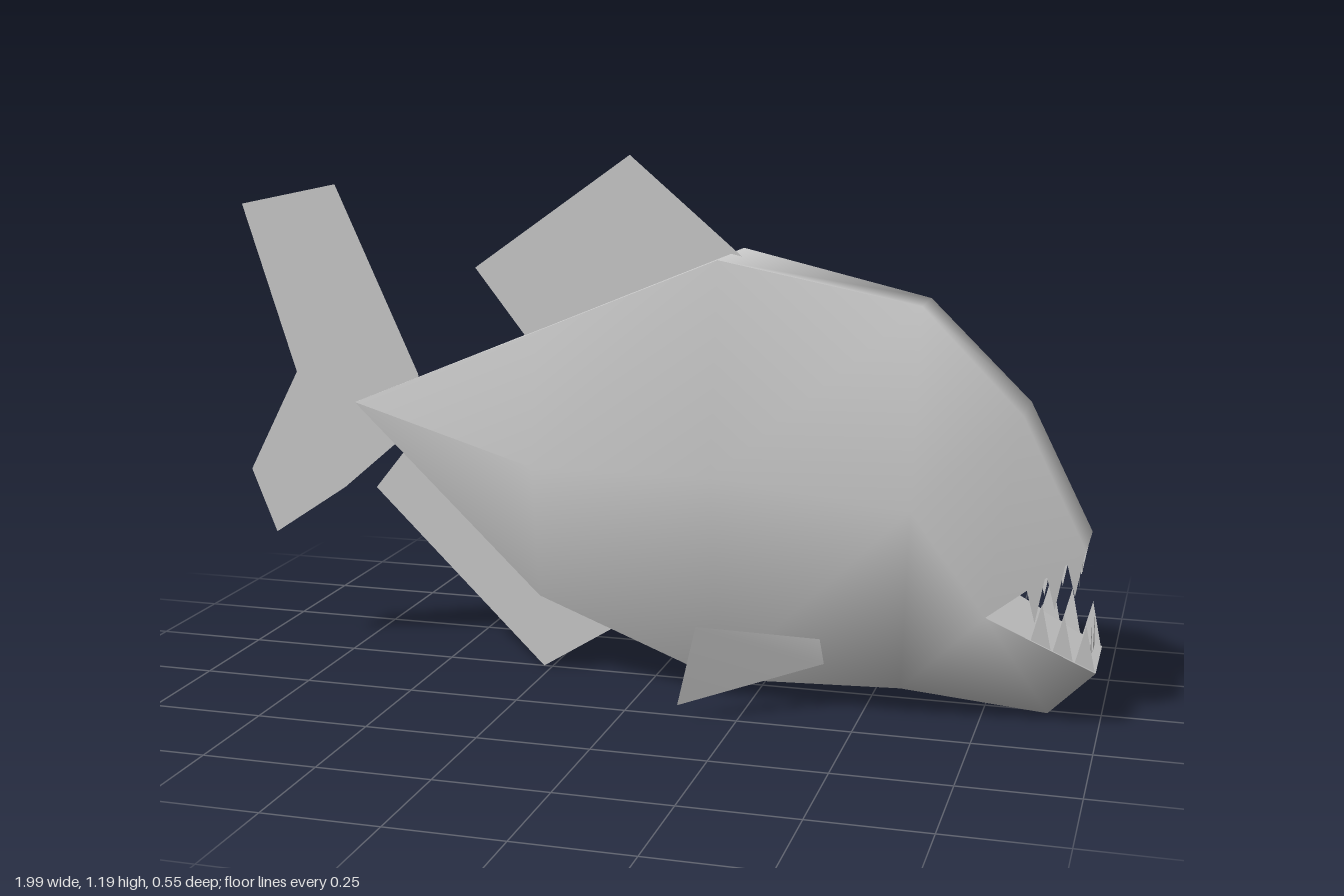
import * as THREE from 'three';

const skin = new THREE.MeshStandardMaterial({ color: 0xcccccc, side: THREE.DoubleSide });
skin.name = 'pale grey';

// Surface from points and index; normals are smooth where points are shared
function surface(name, points, index) {
  const geo = new THREE.BufferGeometry();
  geo.setAttribute('position', new THREE.Float32BufferAttribute(points.flat(), 3));
  geo.setIndex(index);
  geo.computeVertexNormals();
  const mesh = new THREE.Mesh(geo, skin);
  mesh.name = name;
  return mesh;
}

// Flat fin in the middle plane
function fin(name, outline) {
  const shape = new THREE.Shape(outline.map(([x, y]) => new THREE.Vector2(x, y)));
  const mesh = new THREE.Mesh(new THREE.ShapeGeometry(shape), skin);
  mesh.name = name;
  return mesh;
}

// Cross-sections from tail to mouth: top, middle and bottom [x, y, half width]
const rings = [
  [[-0.73, 0.605, 0], [-0.73, 0.605, 0], [-0.73, 0.605, 0]],
  [[-0.26, 0.80, 0.065], [-0.26, 0.5, 0.105], [-0.26, 0.19, 0.055]],
  [[0.17, 0.98, 0.122], [0.17, 0.52, 0.175], [0.17, 0.045, 0.10]],
  [[0.6, 0.89, 0.068], [0.6, 0.47, 0.165], [0.58, 0.065, 0.115]],
  [[0.82, 0.67, 0.085], [0.76, 0.245, 0.14], [0.89, 0.02, 0.06]],
];
const upperLip = [0.96, 0.39, 0.09];
const lowerLip = [0.99, 0.13, 0.10];
const corner = rings[4][1];

function body() {
  const points = [], index = [];
  const flip = ([x, y, z]) => [x, y, -z];
  const add = (p) => points.push(p, flip(p)) - 2; // index of +z point; -z is next
  const tri = (a, b, c) => index.push(a, b, c);
  const quad = (a, b, c, d) => { tri(a, b, c); tri(a, c, d); };
  const ids = rings.map((ring) => ring.map(add));
  // Separate points give the back a sharp edge that fades at the forehead
  const ridge = rings.map((ring, i) => (i < 3 ? add(ring[0]) : ids[i][0]));
  const snout = add(upperLip), chin = add(lowerLip);

  for (let i = 0; i < 4; i++) {
    const [t, m, b] = ids[i], [T, M, B] = ids[i + 1];
    // Flanks
    quad(m, M, T, t);
    quad(t + 1, T + 1, M + 1, m + 1);
    quad(b, B, M, m);
    quad(m + 1, M + 1, B + 1, b + 1);
    // Back and belly
    quad(ridge[i], ridge[i + 1], ridge[i + 1] + 1, ridge[i] + 1);
    quad(b + 1, B + 1, B, b);
  }
  // Snout and lower jaw
  const [t, m, b] = ids[4];
  tri(m, snout, t);
  tri(t + 1, snout + 1, m + 1);
  quad(t, snout, snout + 1, t + 1);
  tri(b, chin, m);
  tri(m + 1, chin + 1, b + 1);
  quad(b + 1, chin + 1, chin, b);
  return surface('body', points, index);
}

// Inside of the mouth, from the corners to one lip
function mouthLining(name, lip, up) {
  const points = [corner, lip].flatMap(([x, y, z]) => [[x, y, z], [x, y, -z]]);
  return surface(name, points, up ? [0, 2, 3, 0, 3, 1] : [0, 3, 2, 0, 1, 3]);
}

// One flat triangular tooth with its base along a direction
function tooth(base, along, height) {
  const [x, y, z] = base, [ax, ay, az] = along;
  return surface('tooth', [
    [x - ax, y - ay, z - az], [x + ax, y + ay, z + az], [x, y + height, z],
  ], [0, 1, 2]);
}

// Teeth along both sides and the front of a lip
function teeth(name, lip, height) {
  const row = new THREE.Group();
  row.name = name;
  const [dx, dy, dz] = lip.map((v, i) => v - corner[i]);
  for (const side of [1, -1]) {
    for (const t of [0.5, 0.7, 0.9]) {
      const base = [corner[0] + dx * t, corner[1] + dy * t, (corner[2] + dz * t - 0.006) * side];
      row.add(tooth(base, [dx * 0.09, dy * 0.09, dz * 0.09 * side], height));
    }
    row.add(tooth([lip[0] - 0.015, lip[1] - Math.sign(dy) * 0.01, 0.045 * side], [0, 0, 0.025], height));
  }
  return row;
}

export function createModel() {
  const fish = new THREE.Group();
  fish.name = 'fish';
  fish.add(
    body(),
    mouthLining('palate', upperLip, false),
    mouthLining('mouthFloor', lowerLip, true),
    teeth('upperTeeth', upperLip, -0.085),
    teeth('lowerTeeth', lowerLip, 0.09),
    fin('tailFin', [[-1, 1.06], [-0.765, 1.11], [-0.57, 0.68], [-0.55, 0.58], [-0.62, 0.52],
      [-0.76, 0.4], [-0.94, 0.28], [-1, 0.43], [-0.875, 0.67]]),
    fin('dorsalFin', [[-0.425, 0.93], [-0.06, 1.19], [0.2, 0.97], [-0.3, 0.77]]),
    fin('analFin', [[-0.68, 0.405], [-0.27, 0.005], [-0.07, 0.13], [-0.2, 0.22], [-0.58, 0.53]]),
  );
  // Pectoral fins, spreading outwards and back
  for (const side of [1, -1]) {
    fish.add(surface(side > 0 ? 'rightPectoralFin' : 'leftPectoralFin', [
      [0.165, 0.215, 0.275 * side], [0.125, 0.037, 0.275 * side],
      [0.415, 0.11, 0.13 * side], [0.405, 0.165, 0.13 * side],
    ], side > 0 ? [0, 1, 2, 0, 2, 3] : [0, 2, 1, 0, 3, 2]));
  }
  return fish;
}
